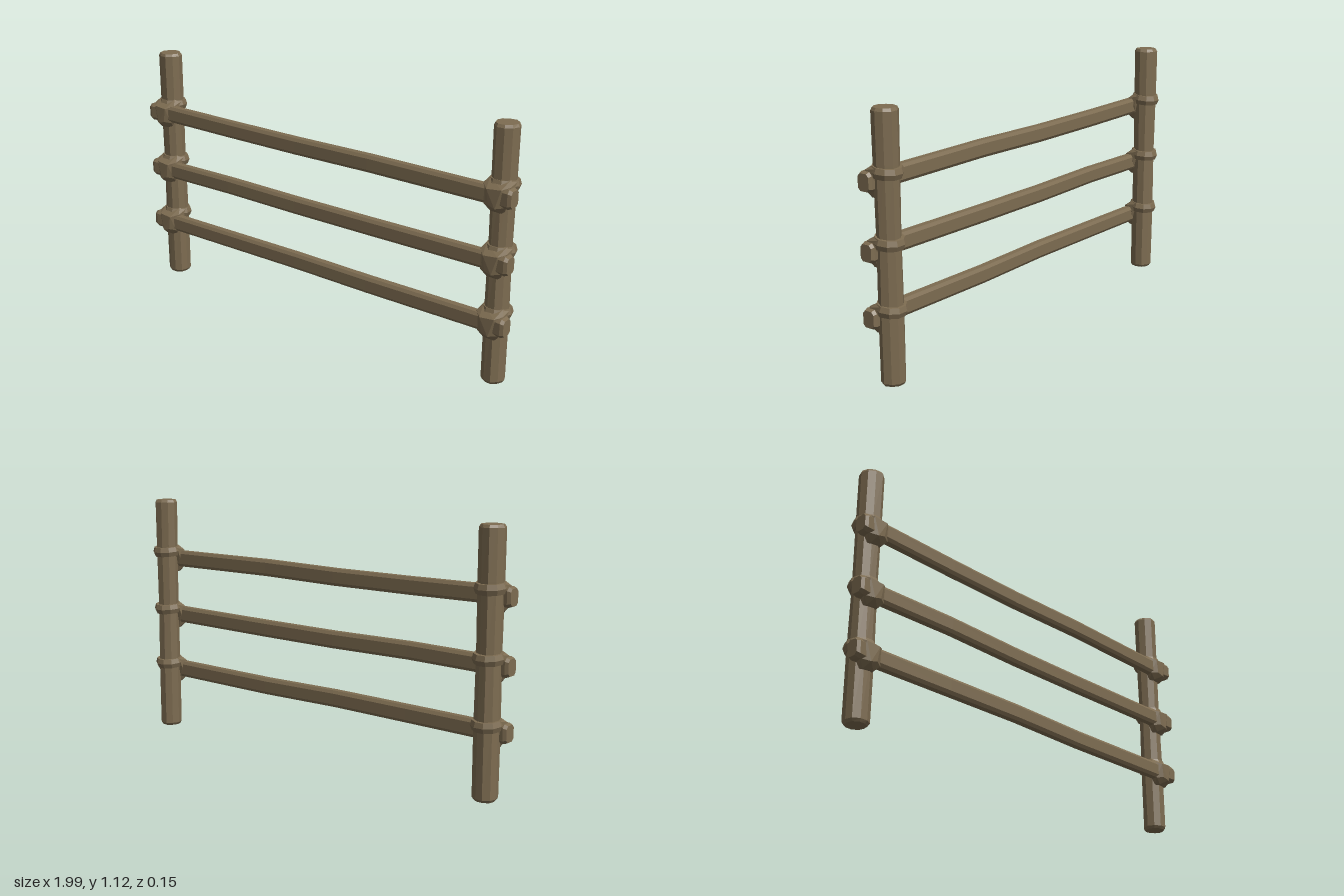
import * as THREE from 'three';
import { ConvexGeometry } from 'three/addons/geometries/ConvexGeometry.js';

const wood = new THREE.MeshStandardMaterial({ color: 0x7d6c51, flatShading: true });
wood.name = 'weathered wood';

// Skin closed rings of points, with a flat cap on each end
function loft(rings) {
  const n = rings[0].length, pos = [], idx = [];
  rings.forEach(r => r.forEach(p => pos.push(...p)));
  for (let k = 0; k < rings.length - 1; k++) {
    for (let i = 0; i < n; i++) {
      const a = k * n + i, b = k * n + (i + 1) % n;
      idx.push(a, b, b + n, a, b + n, a + n);
    }
  }
  const last = (rings.length - 1) * n;
  for (let i = 1; i < n - 1; i++) {
    idx.push(0, i + 1, i, last, last + i, last + i + 1);
  }
  const g = new THREE.BufferGeometry();
  g.setAttribute('position', new THREE.Float32BufferAttribute(pos, 3));
  g.setIndex(idx);
  g.computeVertexNormals();
  return g;
}

function part(name, geometry) {
  const m = new THREE.Mesh(geometry, wood);
  m.name = name;
  return m;
}

// Slightly uneven upright post with bevelled ends
function post(seed) {
  const stations = [[0, 0.044], [0.012, 0.052], [0.3, 0.053], [0.6, 0.05], [0.9, 0.053], [1.108, 0.054], [1.12, 0.047]];
  return loft(stations.map(([y, r], k) => Array.from({ length: 10 }, (_, i) => {
    const a = i / 10 * Math.PI * 2;
    const q = r * (1 + 0.035 * Math.sin(i * 2.4 + seed + k * 0.4));
    return [q * Math.cos(a), y, -q * Math.sin(a)];
  })));
}

// Hewn rail: chamfered rectangle section, thicker at its ends
function rail(seed) {
  const xs = [-0.995, -0.98, -0.87, -0.5, -0.1, 0.3, 0.87, 0.98, 0.995];
  const section = [[1, -0.6], [1, 0.6], [0.65, 1], [-0.65, 1], [-1, 0.6], [-1, -0.6], [-0.65, -1], [0.65, -1]];
  return loft(xs.map((x, k) => {
    const end = Math.abs(x) > 0.9;
    const tip = Math.abs(x) > 0.99 ? 0.85 : 1;
    const h = (end ? 0.041 : 0.038) * tip, d = (end ? 0.033 : 0.023) * tip;
    const wob = end ? 0 : 0.003 * Math.sin(k * 2.1 + seed);
    return section.map(([y, z]) => [x, y * h + wob, 0.039 + z * d + wob * 0.5]);
  }));
}

// Faceted binding: a tilted collar around the post and a knuckle over the rail
function binding(side) {
  const g = new THREE.Group();
  const ring = new THREE.TorusGeometry(0.053, 0.015, 6, 10);
  ring.rotateX(Math.PI / 2);
  ring.scale(1, 1.7, 1);
  ring.rotateX(-0.08);
  ring.translate(0, 0.038, -0.012);
  g.add(part('collar', ring));
  const pts = [
    [-0.03, 0.03, 0.075], [0.035, 0.036, 0.073], [0.012, -0.045, 0.077], [-0.02, -0.035, 0.074],
    [-0.062, 0.042, 0.045], [0.06, 0.045, 0.045], [-0.05, -0.04, 0.055], [0.05, -0.038, 0.055],
    [-0.045, 0.068, 0.02], [0.045, 0.066, 0.02], [-0.06, 0.055, -0.005], [0.06, 0.055, -0.005],
    [-0.022, -0.066, 0.05], [0.026, -0.07, 0.045], [-0.03, -0.066, 0.025], [0.03, -0.068, 0.025],
    [-0.063, 0.01, 0.012], [0.063, 0.01, 0.012],
  ].map(([x, y, z]) => new THREE.Vector3(x * side, y, z));
  g.add(part('knuckle', new ConvexGeometry(pts)));
  return g;
}

export function createModel() {
  const fence = new THREE.Group();
  fence.name = 'fence';

  // Two posts
  for (const side of [-1, 1]) {
    const p = part(side > 0 ? 'leftPost' : 'rightPost', post(side * 1.3));
    p.position.set(side * 0.917, 0, -0.01);
    fence.add(p);
  }

  // Three rails, each bound to both posts
  [0.28, 0.552, 0.833].forEach((y, i) => {
    const r = part(['lowerRail', 'middleRail', 'upperRail'][i], rail(i * 1.7));
    r.position.y = y;
    fence.add(r);
    for (const side of [-1, 1]) {
      const b = binding(side);
      b.name = side > 0 ? 'leftBinding' : 'rightBinding';
      b.position.set(side * 0.917, y, 0);
      fence.add(b);
    }
  });
  return fence;
}
